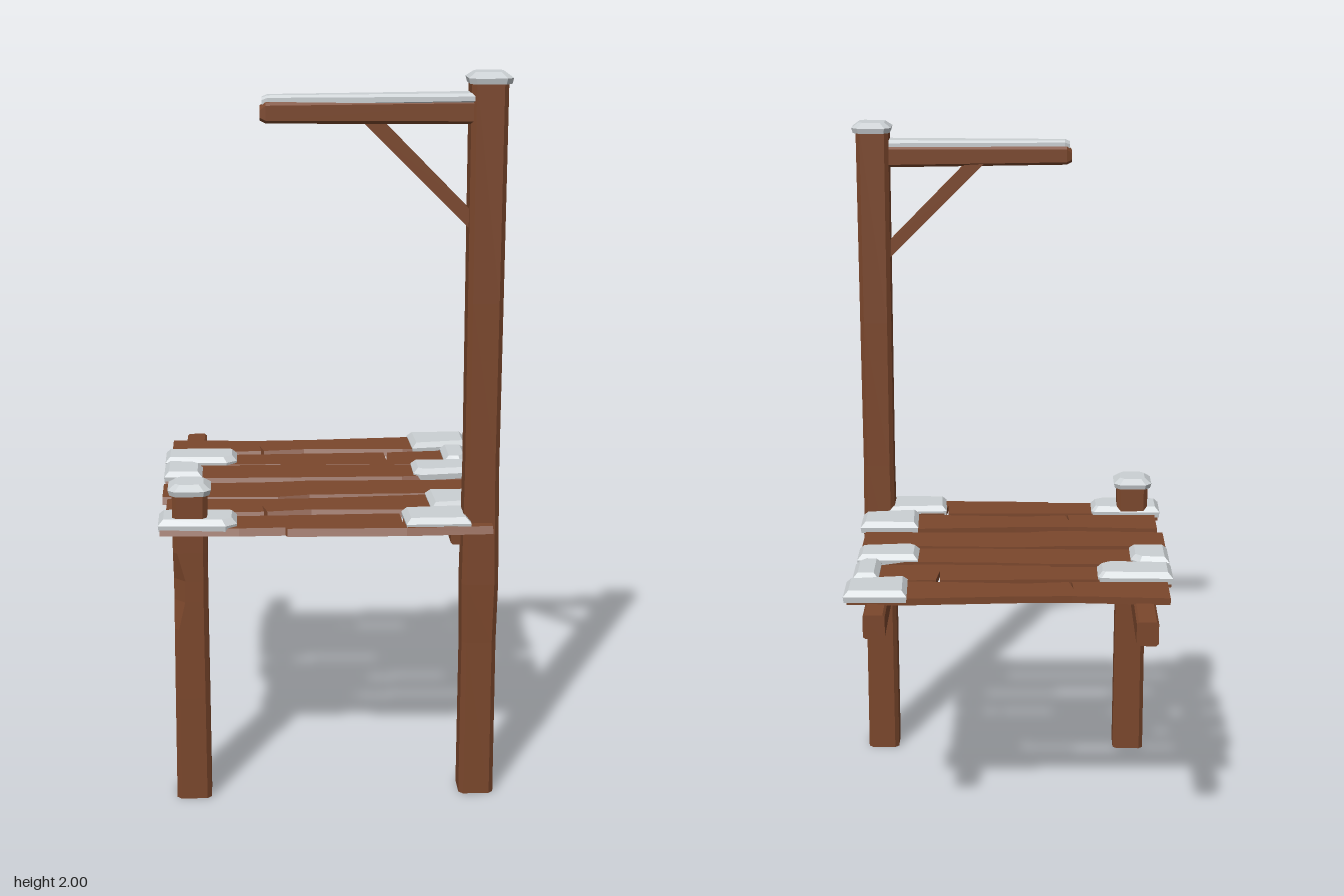
import * as THREE from 'three';

const wood = new THREE.MeshStandardMaterial({ color: 0x7b472c });
wood.name = 'brown wood';
const snow = new THREE.MeshStandardMaterial({ color: 0xcbd0d3 });
snow.name = 'pale snow';

// Skin a list of equal rings of [x, y, z] with flat faces and closed convex ends
function loft(rings) {
  const tris = [];
  const n = rings[0].length;
  for (let r = 0; r < rings.length - 1; r++) {
    for (let i = 0; i < n; i++) {
      const j = (i + 1) % n;
      const a = rings[r][i], b = rings[r][j], c = rings[r + 1][j], d = rings[r + 1][i];
      tris.push([a, b, c], [a, c, d]);
    }
  }
  const end = rings[rings.length - 1];
  for (let i = 1; i < n - 1; i++) {
    tris.push([rings[0][0], rings[0][i + 1], rings[0][i]], [end[0], end[i], end[i + 1]]);
  }
  // turn all faces outward
  let volume = 0;
  const v = tris.map(t => t.map(p => new THREE.Vector3(...p)));
  v.forEach(t => { volume += t[0].dot(t[1].clone().cross(t[2])); });
  if (volume < 0) v.forEach(t => t.reverse());
  const g = new THREE.BufferGeometry().setFromPoints(v.flat());
  g.computeVertexNormals();
  return g;
}

// Rectangle with cut corners, as [u, v] pairs
function cutRect(u0, u1, v0, v1, c) {
  return [[u0 + c, v0], [u1 - c, v0], [u1, v0 + c], [u1, v1 - c],
    [u1 - c, v1], [u0 + c, v1], [u0, v1 - c], [u0, v0 + c]];
}

// Shrink an outline towards its middle by a distance
function inset(outline, d) {
  const box = new THREE.Box2().setFromPoints(outline.map(p => new THREE.Vector2(...p)));
  const c = box.getCenter(new THREE.Vector2()), s = box.getSize(new THREE.Vector2());
  return outline.map(([x, z]) => [c.x + (x - c.x) * (1 - 2 * d / s.x), c.y + (z - c.y) * (1 - 2 * d / s.y)]);
}

// Stack of outlines: each layer is [y, inset]
const stack = (outline, layers) =>
  loft(layers.map(([y, d]) => inset(outline, d).map(([x, z]) => [x, y, z])));

// Board cut from an [x, z] outline, its lower front edge spreading outward
function board(outline, y0, y1) {
  const shape = new THREE.Shape(outline.map(([x, z]) => new THREE.Vector2(x, -z)));
  const g = new THREE.ExtrudeGeometry(shape, { depth: y1 - y0, bevelEnabled: false });
  g.rotateX(-Math.PI / 2).translate(0, y0, 0);
  g.computeBoundingBox();
  const mid = (g.boundingBox.min.z + g.boundingBox.max.z) / 2;
  const p = g.attributes.position;
  for (let i = 0; i < p.count; i++) {
    if (p.getY(i) < y0 + 0.001 && p.getZ(i) > mid) p.setZ(i, p.getZ(i) + 0.009);
  }
  g.computeVertexNormals();
  return g;
}

export function createModel() {
  const model = new THREE.Group();
  const add = (name, geometry, material, z = 0) => {
    const mesh = new THREE.Mesh(geometry, material);
    mesh.name = name;
    mesh.position.z = z;
    model.add(mesh);
  };

  // Posts, slightly uneven along their height; dent cuts the front right corner
  function post(name, x, z, rows) {
    add(name, loft(rows.map(([y, half, dent = 0]) => {
      const ring = cutRect(x - half, x + half, z - half, z + half, 0.012);
      ring[5][0] += dent;
      ring[6][1] -= dent;
      return ring.map(([px, pz]) => [px, y, pz]);
    })), wood);
  }
  post('shortPost', -0.382, 0.418, [[0, 0.048], [0.3, 0.047], [0.5, 0.046],
    [0.58, 0.046, 0.018], [0.64, 0.046, 0.02], [0.72, 0.047], [0.89, 0.047]]);
  post('tallPost', 0.405, 0.42, [[0, 0.048], [0.45, 0.047], [0.62, 0.05],
    [0.95, 0.046], [1.4, 0.047], [1.98, 0.048]]);

  // Snow caps on the posts
  const cap = (name, x, z, y) => add(name,
    stack(cutRect(x - 0.058, x + 0.058, z - 0.058, z + 0.058, 0.018),
      [[y - 0.03, 0.004], [y - 0.015, 0], [y, 0.02]]), snow);
  cap('shortPostSnow', -0.382, 0.414, 0.91);
  cap('tallPostSnow', 0.407, 0.418, 2.0);

  // Joists under the deck
  for (const [name, x, back] of [['rightJoist', -0.38, -0.515], ['leftJoist', 0.36, -0.47]]) {
    add(name, loft([back, 0.4].map(z =>
      cutRect(x - 0.03, x + 0.03, 0.713, 0.782, 0.006).map(([px, py]) => [px, py, z]))), wood);
  }

  // Deck planks with crooked edges and splits
  const plankA = [[-0.45, -0.378], [-0.18, -0.363], [-0.02, -0.367], [0.28, -0.387], [0.44, -0.385],
    [0.44, -0.265], [0.25, -0.25], [-0.05, -0.264], [-0.172, -0.25], [-0.185, -0.305],
    [-0.181, -0.249], [-0.45, -0.246]];
  const plankB = [[-0.462, -0.23], [-0.25, -0.222], [0.19, -0.228], [0.193, -0.15], [0.202, -0.228],
    [0.37, -0.24], [0.433, -0.24], [0.433, -0.107], [0.2, -0.1], [-0.12, -0.107],
    [-0.125, -0.118], [-0.25, -0.116], [-0.462, -0.125]];
  const plankC = [[-0.462, -0.1], [-0.12, -0.1], [0.05, -0.09], [0.43, -0.083],
    [0.43, 0.012], [0.225, 0.034], [-0.1, 0.03], [-0.462, 0.026]];
  const plankD = [[-0.465, 0.07], [-0.14, 0.065], [-0.05, 0.055], [0.0, 0.056], [0.433, 0.066],
    [0.433, 0.19], [-0.05, 0.19], [-0.14, 0.208], [-0.465, 0.196]];
  const low = 0.779, high = 0.799;
  [[plankA, 0], [plankB, 0], [plankC, 0], [plankD, 0], [plankA, 0.6], [plankB, 0.6]].forEach(
    ([outline, z], i) => add('plank' + (i + 1), board(outline, low - (i % 2) * 0.003, high - (i % 2) * 0.003), wood, z));

  // Snow patches on the plank ends
  const patchA = [[0.275, -0.39], [0.45, -0.39], [0.45, -0.268], [0.28, -0.243]];
  const patchB = [[-0.467, -0.233], [-0.265, -0.229], [-0.255, -0.22], [-0.255, -0.135],
    [-0.285, -0.112], [-0.467, -0.122]];
  const patchB2 = [[0.363, -0.243], [0.436, -0.243], [0.436, -0.12], [0.41, -0.095], [0.363, -0.1]];
  const patchC = [[-0.466, -0.102], [-0.38, -0.095], [-0.355, -0.07], [-0.355, 0.034], [-0.466, 0.031]];
  const patchC2 = [[0.26, -0.086], [0.436, -0.086], [0.436, 0.018], [0.28, 0.037], [0.26, 0.02]];
  const patchF = [[0.195, -0.225], [0.375, -0.238], [0.375, -0.105], [0.2, -0.105]];
  [[patchA, 0], [patchB, 0], [patchB2, 0], [patchC, 0], [patchC2, 0], [patchA, 0.6],
    [patchB, 0.6], [patchF, 0.6]].forEach(([outline, z], i) => add('plankSnow' + (i + 1),
    stack(outline, [[0.786, 0.002], [0.803, 0], [0.818, 0.014]]), snow, z));

  // Hanging arm with a tapering snow strip
  const section = (x, z0, z1, y0, y1, c) => cutRect(z0, z1, y0, y1, c).map(([z, y]) => [x, y, z]);
  add('arm', loft([section(-0.185, 0.417, 0.467, 1.88, 1.915, 0.008),
    section(-0.17, 0.41, 0.472, 1.873, 1.927, 0.008),
    section(0.37, 0.385, 0.462, 1.868, 1.93, 0.008)]), wood);
  add('armSnow', loft([section(-0.18, 0.425, 0.46, 1.915, 1.938, 0.006),
    section(-0.165, 0.418, 0.463, 1.915, 1.944, 0.006),
    section(0.37, 0.39, 0.465, 1.92, 1.947, 0.008)]), snow);

  // Diagonal brace under the arm
  add('brace', loft([0.4, 0.44].map(z =>
    [[0.075, 1.878], [0.13, 1.878], [0.37, 1.635], [0.37, 1.585]].map(([x, y]) => [x, y, z]))), wood);

  return model;
}
